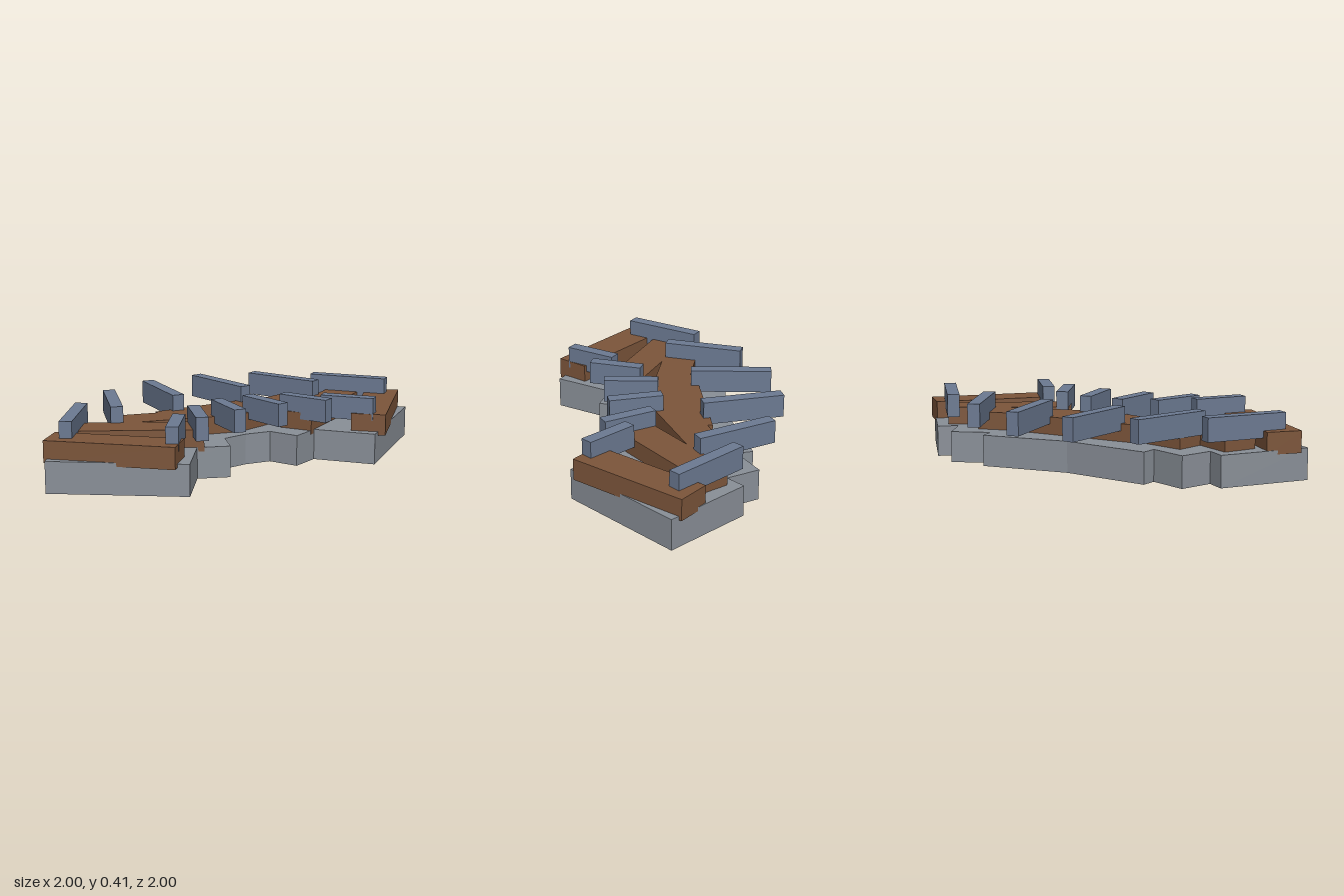
import * as THREE from 'three';

// Quarter-turn track piece: stone bed, wooden sleepers and two rows of rail segments
export function createModel() {
  const model = new THREE.Group();
  const centre = 0.833;   // the arc is centred on x = z = centre
  const steps = 6;
  const step = Math.PI / 2 / steps;

  const stone = new THREE.MeshStandardMaterial({ color: 0x8a9098 });
  const wood = new THREE.MeshStandardMaterial({ color: 0x7d563b });
  const steel = new THREE.MeshStandardMaterial({ color: 0x6c7a92 });

  // Box on the arc: length runs along local x, depth along local z
  function place(name, material, radius, angle, length, depth, bottom, top) {
    const mesh = new THREE.Mesh(new THREE.BoxGeometry(length, top - bottom, depth), material);
    mesh.name = name;
    mesh.position.set(
      centre - radius * Math.sin(angle),
      (bottom + top) / 2,
      centre - radius * Math.cos(angle)
    );
    mesh.rotation.y = -angle;
    model.add(mesh);
  }

  // Bed blocks and the rails above them, at the middle of each step
  for (let i = 0; i < steps; i++) {
    const a = (i + 0.5) * step;
    place('bedBlock' + (i + 1), stone, 1.383, a, 0.585, 0.853, 0, 0.196);
    place('outerRail' + (i + 1), steel, 1.718, a, 0.52, 0.078, 0.263, 0.409);
    place('innerRail' + (i + 1), steel, 1.052, a, 0.345, 0.078, 0.263, 0.409);
  }

  // Sleepers at the joints and both ends
  for (let i = 0; i <= steps; i++) {
    place('sleeper' + (i + 1), wood, 1.383, i * step, 0.22, 0.8, 0.172, 0.307);
  }

  return model;
}
